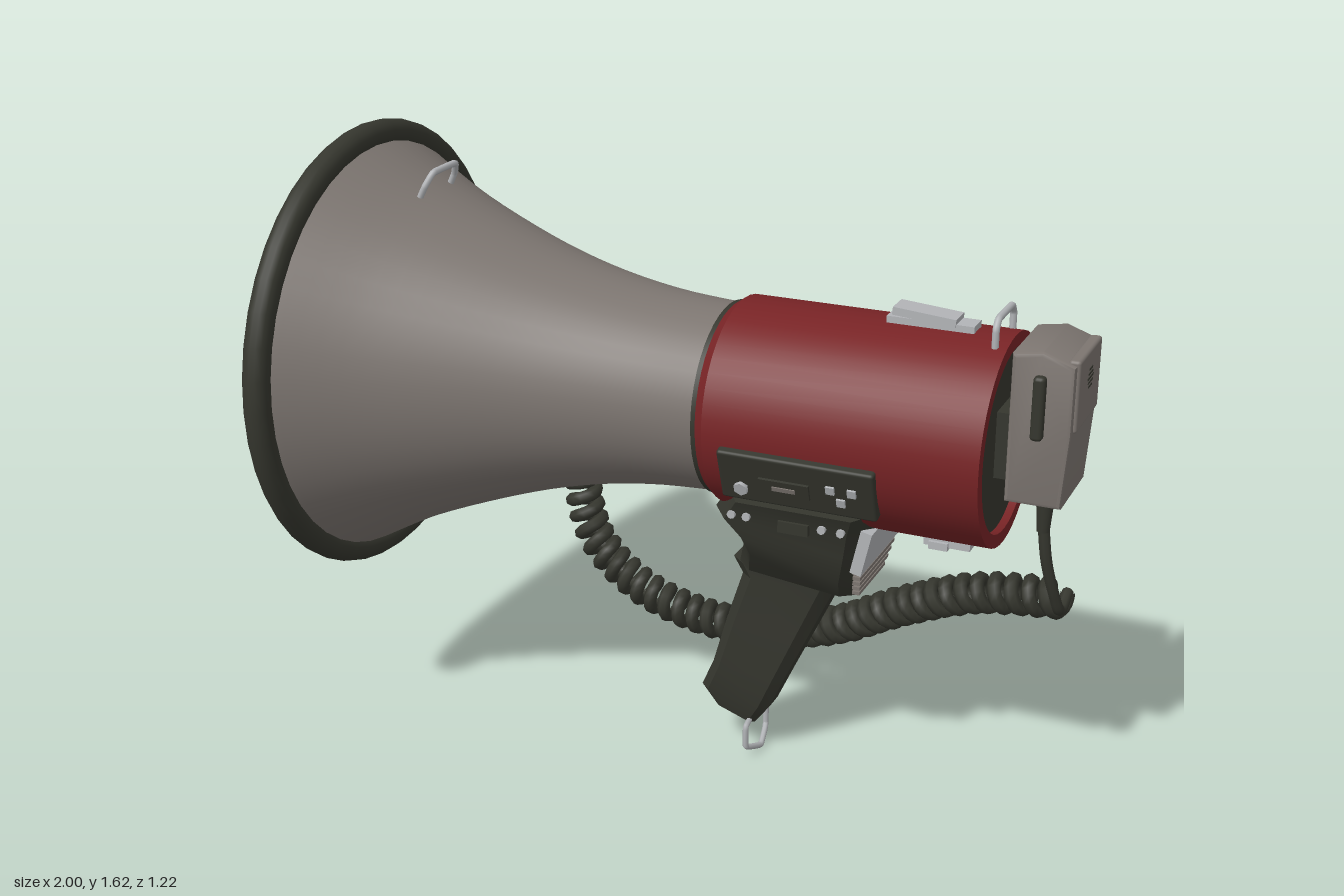
import * as THREE from 'three';
import { toCreasedNormals } from 'three/addons/utils/BufferGeometryUtils.js';
import { RoundedBoxGeometry } from 'three/addons/geometries/RoundedBoxGeometry.js';

const AXIS = 1.01; // height of the horn axis

function material(name, color) {
  const m = new THREE.MeshStandardMaterial({ color });
  m.name = name;
  return m;
}
const taupe = material('taupe plastic', 0x7c7570);
const red = material('red shell', 0x772325);
const dark = material('dark rubber', 0x35362e);
const metal = material('light metal', 0xb2b4b7);

function add(parent, name, geometry, mat, x = 0, y = 0, z = 0) {
  const mesh = new THREE.Mesh(geometry, mat);
  mesh.name = name;
  mesh.position.set(x, y, z);
  parent.add(mesh);
  return mesh;
}

// Surface turned around the horn axis from [x, radius] pairs
function turned(parent, name, profile, mat, segments = 44) {
  const g = new THREE.LatheGeometry(profile.map(([x, r]) => new THREE.Vector2(r, x)), segments);
  g.rotateZ(-Math.PI / 2);
  return add(parent, name, toCreasedNormals(g, 0.5), mat, 0, AXIS, 0);
}

const vectors = (pts) => pts.map((p) => new THREE.Vector3(...p));

function wire(parent, name, pts, radius, mat, tension = 0.15) {
  const curve = new THREE.CatmullRomCurve3(vectors(pts), false, 'catmullrom', tension);
  return add(parent, name, new THREE.TubeGeometry(curve, 48, radius, 8), mat);
}

// Loft through chamfered sections [x0, y0, x1, y1, halfDepth], bottom to top
function loft(sections) {
  const ring = [[1, 0.6], [1, -0.6], [0.75, -1], [-0.75, -1], [-1, -0.6], [-1, 0.6], [-0.75, 1], [0.75, 1]];
  const n = ring.length, pos = [], index = [];
  for (const [x0, y0, x1, y1, h] of sections) {
    for (const [u, v] of ring) {
      const t = (u + 1) / 2;
      pos.push(x0 + (x1 - x0) * t, y0 + (y1 - y0) * t, v * h);
    }
  }
  const top = (sections.length - 1) * n;
  for (let k = 0; k < n; k++) {
    const k1 = (k + 1) % n;
    for (let j = 0; j < top; j += n) {
      index.push(j + k, j + k1, j + n + k, j + k1, j + n + k1, j + n + k);
    }
    if (k > 0 && k < n - 1) index.push(0, k1, k, top, top + k, top + k1);
  }
  const g = new THREE.BufferGeometry();
  g.setAttribute('position', new THREE.Float32BufferAttribute(pos, 3));
  g.setIndex(index);
  return toCreasedNormals(g, 0.5);
}

function buildHorn(parent) {
  const horn = new THREE.Group();
  horn.name = 'horn';
  parent.add(horn);
  const curve = new THREE.SplineCurve([[-0.95, 0.56], [-0.75, 0.452], [-0.5, 0.352], [-0.3, 0.292],
    [-0.1, 0.256], [0.1, 0.242]].map((p) => new THREE.Vector2(...p)));
  const flare = curve.getPoints(24).map((p) => [p.x, p.y]);
  turned(horn, 'hornOuter', flare, taupe);
  turned(horn, 'hornInner', flare.map(([x, r]) => [x, r - 0.012]).reverse(), dark);
  const rim = add(horn, 'hornRim', new THREE.TorusGeometry(0.575, 0.035, 14, 44), dark, -0.965, AXIS, 0);
  rim.rotation.y = Math.PI / 2;
  // Sound tube inside the mouth, with its ribbed collar
  turned(horn, 'soundTube', [[-0.78, 0.095], [-0.78, 0.12], [-0.7, 0.12], [-0.68, 0.105], [0.09, 0.14]], red, 28);
  turned(horn, 'soundTubeCap', [[-0.785, 0], [-0.785, 0.098], [-0.76, 0.098]], dark, 28);
  for (let i = 0; i < 6; i++) {
    const a = (i / 6) * Math.PI * 2;
    const rib = add(horn, 'collarRib', new THREE.BoxGeometry(0.1, 0.035, 0.03), red,
      -0.75, AXIS + Math.cos(a) * 0.122, Math.sin(a) * 0.122);
    rib.rotation.x = a;
  }
  wire(horn, 'hornLoop', [[-0.775, 1.44, -0.078], [-0.75, 1.49, -0.075], [-0.735, 1.523, -0.055],
    [-0.735, 1.523, 0.055], [-0.75, 1.49, 0.075], [-0.775, 1.44, 0.078]], 0.009, metal);
}

function buildBody(parent) {
  const body = new THREE.Group();
  body.name = 'body';
  parent.add(body);
  turned(body, 'bodyShell', [[0.09, 0], [0.09, 0.25], [0.115, 0.268], [0.815, 0.268], [0.815, 0.234], [0.78, 0.234]], red);
  turned(body, 'frontSeal', [[0.078, 0.235], [0.078, 0.25], [0.095, 0.25]], dark);
  turned(body, 'backPlate', [[0.795, 0.236], [0.795, 0]], dark);
  // Top latch and strap loop
  add(body, 'latchBase', new THREE.BoxGeometry(0.22, 0.02, 0.06), metal, 0.61, 1.283, 0);
  const lever = add(body, 'latchLever', new THREE.BoxGeometry(0.16, 0.02, 0.066), metal, 0.595, 1.302, 0);
  lever.rotation.z = -0.08;
  wire(body, 'bodyLoop', [[0.785, 1.25, -0.075], [0.785, 1.31, -0.075], [0.785, 1.332, -0.055],
    [0.785, 1.332, 0.055], [0.785, 1.31, 0.075], [0.785, 1.25, 0.075]], 0.009, metal);
  add(body, 'lowerLatch', new THREE.BoxGeometry(0.12, 0.035, 0.07), metal, 0.68, 0.728, 0);
  add(body, 'lowerLatchTab', new THREE.BoxGeometry(0.05, 0.02, 0.09), metal, 0.66, 0.715, 0);
  // Control panel
  const panel = new THREE.Group();
  panel.name = 'controlPanel';
  panel.position.set(0.363, 0.918, 0.24);
  panel.rotation.x = 0.32;
  body.add(panel);
  add(panel, 'panelPlate', new RoundedBoxGeometry(0.405, 0.145, 0.05, 2, 0.008), dark);
  const knob = add(panel, 'knob', new THREE.CylinderGeometry(0.019, 0.019, 0.014, 6), metal, -0.145, -0.03, 0.028);
  knob.rotation.x = Math.PI / 2;
  for (const [x, y] of [[0.09, 0.01], [0.145, 0.01], [0.115, -0.025]]) {
    add(panel, 'button', new THREE.BoxGeometry(0.022, 0.022, 0.01), metal, x, y, 0.026);
  }
  add(panel, 'sliderPlate', new THREE.BoxGeometry(0.13, 0.045, 0.008), dark, -0.03, -0.01, 0.028);
  add(panel, 'slider', new THREE.BoxGeometry(0.06, 0.012, 0.006), taupe, -0.03, -0.01, 0.032);
  // Cable socket
  const socket = add(body, 'socket', new THREE.CylinderGeometry(0.035, 0.035, 0.03, 12), metal, 0.56, 1.01, -0.272);
  socket.rotation.x = Math.PI / 2;
  add(body, 'plug', new THREE.BoxGeometry(0.1, 0.035, 0.025), metal, 0.54, 1.01, -0.285);
  add(body, 'plugCollar', new THREE.BoxGeometry(0.025, 0.075, 0.02), metal, 0.56, 1.01, -0.28);
}

function buildGrip(parent) {
  const grip = new THREE.Group();
  grip.name = 'grip';
  parent.add(grip);
  add(grip, 'handle', loft([[0.05, 0.13, 0.165, 0.09, 0.035], [0.015, 0.18, 0.21, 0.15, 0.05],
    [0.05, 0.26, 0.255, 0.25, 0.06], [0.09, 0.4, 0.325, 0.4, 0.064], [0.135, 0.54, 0.39, 0.54, 0.066],
    [0.11, 0.585, 0.405, 0.56, 0.07], [0.155, 0.64, 0.42, 0.62, 0.075]]), dark);
  add(grip, 'bracket', loft([[0.135, 0.585, 0.465, 0.55, 0.1], [0.16, 0.66, 0.48, 0.61, 0.155],
    [0.14, 0.71, 0.505, 0.7, 0.18], [0.09, 0.755, 0.525, 0.77, 0.19], [0.135, 0.82, 0.54, 0.82, 0.216]]), dark);
  // Light back cover with ridges below
  const cover = add(grip, 'backCover', new THREE.BoxGeometry(0.03, 0.12, 0.33), metal, 0.5, 0.715, 0);
  cover.rotation.z = -0.22;
  for (let i = 0; i < 5; i++) {
    add(grip, 'ridge', new THREE.BoxGeometry(0.02, 0.009, 0.2 + i * 0.022), taupe, 0.468 + i * 0.004, 0.572 + i * 0.019, 0);
  }
  // Screws on both sides
  for (const side of [-1, 1]) {
    for (const x of [0.17, 0.21, 0.41, 0.46]) {
      const screw = add(grip, 'screw', new THREE.CylinderGeometry(0.011, 0.011, 0.012, 8), metal, x, 0.78, side * 0.203);
      screw.rotation.x = Math.PI / 2;
    }
    add(grip, 'sideSwitch', new THREE.BoxGeometry(0.08, 0.03, 0.015), dark, 0.335, 0.77, side * 0.2);
  }
  wire(grip, 'gripLoop', [[0.155, 0.1, -0.035], [0.16, 0.098, -0.072], [0.16, 0.04, -0.072], [0.165, 0.03, -0.055],
    [0.175, 0.01, 0], [0.165, 0.03, 0.055], [0.16, 0.04, 0.072], [0.16, 0.098, 0.072], [0.155, 0.1, 0.035]], 0.008, metal);
}

function buildMicrophone(parent) {
  const mic = new THREE.Group();
  mic.name = 'microphone';
  parent.add(mic);
  const side = new THREE.Shape([[0.848, 0.908], [0.967, 0.908], [0.98, 1.09], [0.98, 1.25], [0.91, 1.275],
    [0.848, 1.265]].map((p) => new THREE.Vector2(...p)));
  const shell = new THREE.ExtrudeGeometry(side, { depth: 0.22, bevelThickness: 0.01, bevelSize: 0.01, bevelSegments: 2 });
  shell.translate(0, 0, -0.11);
  add(mic, 'micShell', toCreasedNormals(shell, 0.5), taupe);
  add(mic, 'micFacePlate', new RoundedBoxGeometry(0.03, 0.18, 0.21, 2, 0.008), taupe, 0.983, 1.18, 0);
  for (let i = -2; i <= 2; i++) {
    add(mic, 'micSlot', new THREE.BoxGeometry(0.005, 0.005, 0.055 - Math.abs(i) * 0.012), dark, 0.997, 1.2 + i * 0.011, 0);
  }
  add(mic, 'talkButton', new RoundedBoxGeometry(0.03, 0.16, 0.05, 2, 0.01), dark, 0.91, 1.15, 0.115);
  add(mic, 'micHanger', new THREE.BoxGeometry(0.06, 0.17, 0.12), dark, 0.815, 1.015, 0);
  add(mic, 'strainRelief', new THREE.CylinderGeometry(0.026, 0.016, 0.12, 12), dark, 0.912, 0.845, 0);
}

function buildCord(parent) {
  const cord = new THREE.Group();
  cord.name = 'cord';
  parent.add(cord);
  const path = new THREE.CatmullRomCurve3(vectors([[0.95, 0.57, -0.09], [0.72, 0.52, -0.13], [0.5, 0.41, -0.19],
    [0.3, 0.29, -0.24], [0.08, 0.21, -0.29], [-0.15, 0.195, -0.315], [-0.35, 0.25, -0.33], [-0.48, 0.36, -0.34],
    [-0.53, 0.5, -0.35], [-0.52, 0.66, -0.355], [-0.46, 0.82, -0.36], [-0.32, 0.93, -0.36], [-0.1, 0.975, -0.355],
    [0.26, 0.97, -0.35]]));
  // Coil wound around the path
  const turns = 60, steps = turns * 14;
  const { normals, binormals } = path.computeFrenetFrames(steps, false);
  const coil = [];
  for (let i = 0; i <= steps; i++) {
    const a = (i / 14) * Math.PI * 2;
    coil.push(path.getPointAt(i / steps)
      .addScaledVector(normals[i], Math.cos(a) * 0.038)
      .addScaledVector(binormals[i], Math.sin(a) * 0.038));
  }
  const helix = new THREE.CatmullRomCurve3(coil);
  helix.arcLengthDivisions = 4000;
  add(cord, 'coil', new THREE.TubeGeometry(helix, turns * 16, 0.019, 7), dark);
  // Straight leads at both ends
  const first = coil[0].toArray(), last = coil[steps].toArray();
  wire(cord, 'micLead', [[0.912, 0.8, 0], [0.925, 0.7, -0.005], [0.945, 0.6, -0.03], [0.955, 0.55, -0.06], first], 0.015, dark, 0.5);
  wire(cord, 'plugLead', [last, [0.31, 0.985, -0.345], [0.38, 1, -0.305], [0.52, 1.01, -0.285]], 0.014, dark, 0.5);
}

export function createModel() {
  const model = new THREE.Group();
  model.name = 'megaphone';
  for (const build of [buildHorn, buildBody, buildGrip, buildMicrophone, buildCord]) build(model);
  return model;
}
